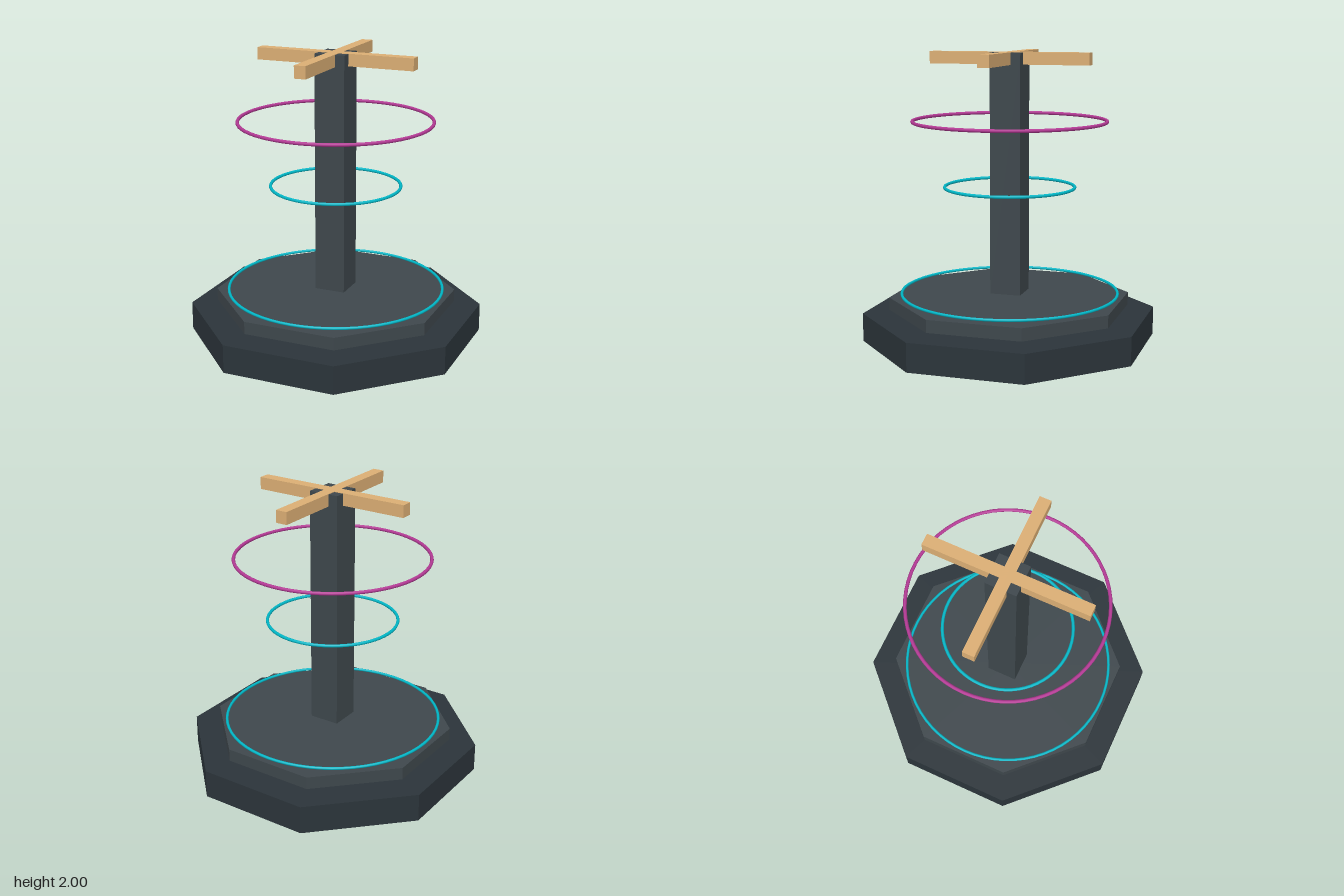
import * as THREE from 'three';

const mat = (color, flatShading = false) => new THREE.MeshStandardMaterial({ color, flatShading });

export function createModel() {
  const model = new THREE.Group();
  const dark = mat(0x2b343a, true);
  const slate = mat(0x3e474c, true);
  const wood = mat(0xdbae74, true);
  const cyan = mat(0x00b8c8);
  const magenta = mat(0xb53a96);

  const add = (name, geometry, material, y) => {
    const mesh = new THREE.Mesh(geometry, material);
    mesh.name = name;
    mesh.position.y = y;
    model.add(mesh);
    return mesh;
  };

  // Octagonal slab with flat sides facing the axes
  const slab = (name, apothem, bottom, top, material) => {
    const r = apothem / Math.cos(Math.PI / 8);
    const geometry = new THREE.CylinderGeometry(r, r, top - bottom, 8).rotateY(Math.PI / 8);
    add(name, geometry, material, (bottom + top) / 2);
  };
  slab('base', 0.947, 0, 0.197, dark);
  slab('plinth', 0.777, 0.22, 0.307, slate);

  // Square pillar, its top just under the tops of the beams
  const pillarBottom = 0.335, pillarTop = 1.997;
  add('pillar', new THREE.BoxGeometry(0.215, pillarTop - pillarBottom, 0.215), slate,
    (pillarBottom + pillarTop) / 2);

  // Crossed beams
  add('beamAcross', new THREE.BoxGeometry(1.13, 0.084, 0.08), wood, 1.958);
  add('beamDeep', new THREE.BoxGeometry(0.08, 0.084, 1.13), wood, 1.958);

  // Floating rings
  const ring = (name, radius, tube, y, material) =>
    add(name, new THREE.TorusGeometry(radius, tube, 8, 64).rotateX(Math.PI / 2), material, y);
  ring('lowerRing', 0.753, 0.01, 0.333, cyan);
  ring('middleRing', 0.449, 0.011, 1.075, cyan);
  ring('upperRing', 0.666, 0.012, 1.53, magenta);

  return model;
}
